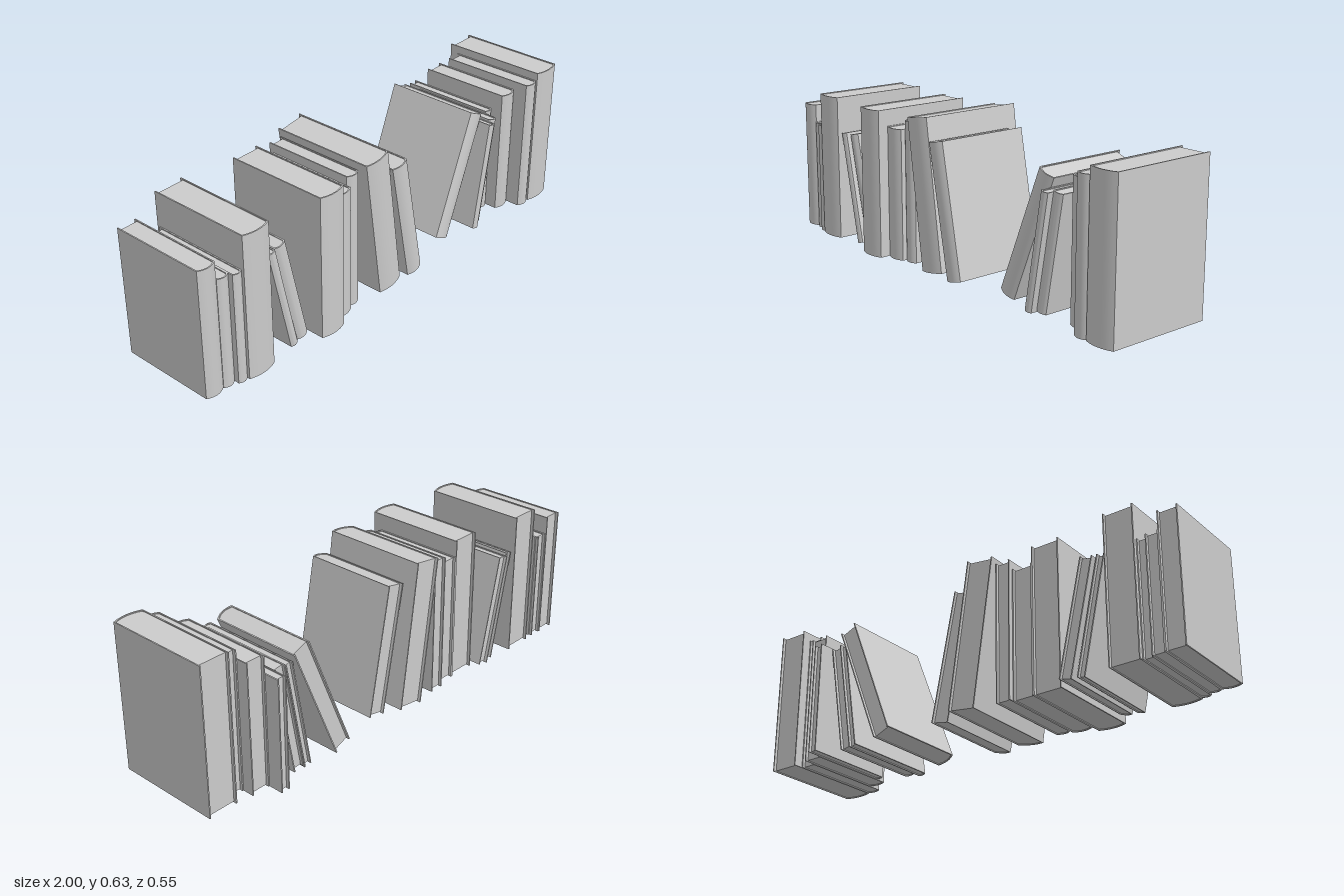
import * as THREE from 'three';
import { toCreasedNormals } from 'three/addons/utils/BufferGeometryUtils.js';

const material = new THREE.MeshStandardMaterial({ color: 0xcccccc });
const BOARD = 0.005; // cover thickness
const INSET = 0.004; // pages sit below the cover edge at head and tail
const RECESS = 0.013; // pages stop short of the fore-edge
const BULGE = 0.013; // how far the rounded spine swells

// Each book: pivot x, thickness, height, back z, front z, lean in degrees.
// Pivot is the left bottom corner, or the right one when leaning to +x.
const BOOKS = [
  [-1.0, 0.083, 0.551, -0.235, 0.185, 0],
  [-0.917, 0.054, 0.476, -0.232, 0.185, 0],
  [-0.863, 0.043, 0.476, -0.22, 0.205, 0],
  [-0.82, 0.128, 0.62, -0.235, 0.222, 0],
  [-0.585, 0.035, 0.476, -0.22, 0.2, 12.2],
  [-0.537, 0.055, 0.476, -0.235, 0.19, 12.7],
  [-0.468, 0.123, 0.62, -0.197, 0.258, 0],
  [-0.345, 0.091, 0.551, -0.197, 0.213, 0],
  [-0.254, 0.064, 0.588, -0.217, 0.193, 0],
  [-0.099, 0.123, 0.622, -0.235, 0.232, 8],
  [0.067, 0.083, 0.551, -0.182, 0.238, 11.2],
  [0.398, 0.08, 0.551, -0.238, 0.183, -22],
  [0.548, 0.035, 0.476, -0.217, 0.228, -9.7],
  [0.597, 0.05, 0.476, -0.212, 0.203, -9.7],
  [0.68, 0.04, 0.476, -0.272, 0.145, 0],
  [0.72, 0.083, 0.551, -0.207, 0.203, 0],
  [0.803, 0.067, 0.588, -0.157, 0.265, 0],
  [0.87, 0.13, 0.622, -0.197, 0.273, 0],
];

// Outline drawn in x and -z, extruded upward
function extrudeUp(shape, height, y) {
  const geometry = new THREE.ExtrudeGeometry(shape, { depth: height, bevelEnabled: false, curveSegments: 8 });
  geometry.rotateX(-Math.PI / 2).translate(0, y, 0);
  return toCreasedNormals(geometry, 0.45);
}

function makeBook([pivot, width, height, back, front, lean]) {
  const book = new THREE.Group();
  book.name = 'book';
  const x0 = lean < 0 ? -width : 0;
  const x1 = x0 + width;
  const mid = (x0 + x1) / 2;
  const bulge = Math.min(BULGE, width * 0.2);
  const hinge = -(front - bulge);

  // U-shaped cover: two boards joined by a rounded spine
  const cover = new THREE.Shape();
  cover.moveTo(x0, -back);
  cover.lineTo(x0, hinge);
  cover.quadraticCurveTo(mid, hinge - 2 * bulge, x1, hinge);
  cover.lineTo(x1, -back);
  cover.lineTo(x1 - BOARD, -back);
  cover.lineTo(x1 - BOARD, hinge + BOARD);
  cover.quadraticCurveTo(mid, hinge + BOARD - 2 * bulge, x0 + BOARD, hinge + BOARD);
  cover.lineTo(x0 + BOARD, -back);
  cover.closePath();
  const coverMesh = new THREE.Mesh(extrudeUp(cover, height, 0), material);
  coverMesh.name = 'cover';

  // Page block, following the spine curve
  const pages = new THREE.Shape();
  pages.moveTo(x0 + BOARD, -back - RECESS);
  pages.lineTo(x0 + BOARD, hinge + BOARD);
  pages.quadraticCurveTo(mid, hinge + BOARD - 2 * bulge, x1 - BOARD, hinge + BOARD);
  pages.lineTo(x1 - BOARD, -back - RECESS);
  pages.closePath();
  const pageMesh = new THREE.Mesh(extrudeUp(pages, height - 2 * INSET, INSET), material);
  pageMesh.name = 'pages';

  book.add(coverMesh, pageMesh);
  book.position.x = pivot;
  book.rotation.z = THREE.MathUtils.degToRad(lean);
  return book;
}

export function createModel() {
  const model = new THREE.Group();
  model.name = 'rowOfBooks';
  for (const spec of BOOKS) model.add(makeBook(spec));
  return model;
}
